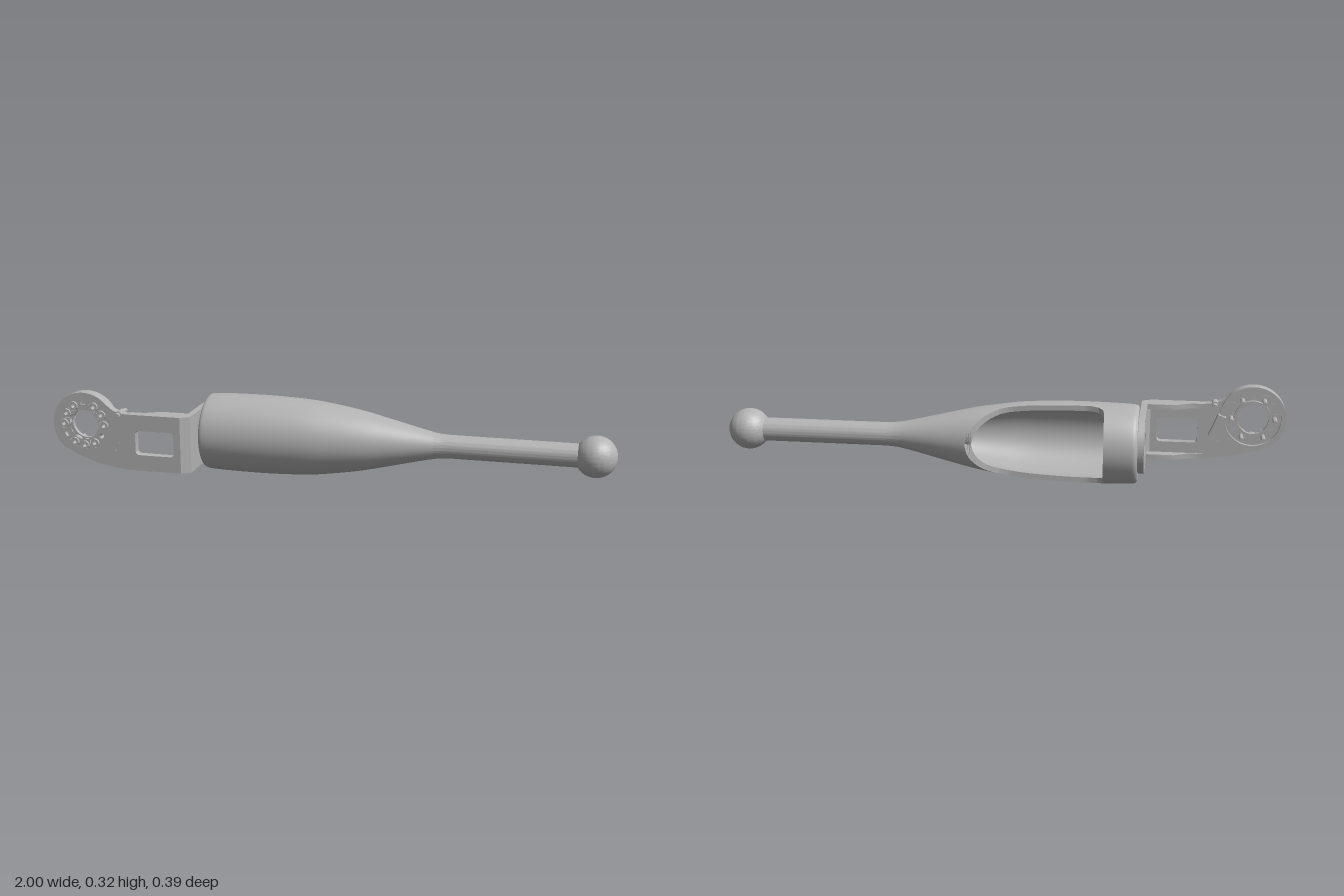
import * as THREE from 'three';
import { toCreasedNormals } from 'three/addons/utils/BufferGeometryUtils.js';

const AY = 0.145, AZ = -0.05; // axis of the handle, running along x
const V = (x, y) => new THREE.Vector2(x, y);

// Linear lookup in a list of points sorted by x
function lookup(pts, x) {
  for (let i = 1; i < pts.length; i++) {
    const a = pts[i - 1], b = pts[i];
    if (x <= b.x) return a.y + (b.y - a.y) * Math.max(0, (x - a.x) / (b.x - a.x));
  }
  return pts[pts.length - 1].y;
}

// Surface through rows of points; at(i, j) gives [px, py, pz, nx, ny, nz]
function gridSurface(rows, cols, at) {
  const pos = [], nor = [], idx = [];
  for (let i = 0; i < rows; i++)
    for (let j = 0; j < cols; j++) {
      const p = at(i, j);
      pos.push(...p.slice(0, 3));
      nor.push(...p.slice(3));
      if (i < rows - 1 && j < cols - 1) {
        const a = i * cols + j, b = a + cols;
        idx.push(a, b, b + 1, a, b + 1, a + 1);
      }
    }
  const geo = new THREE.BufferGeometry();
  geo.setAttribute('position', new THREE.Float32BufferAttribute(pos, 3));
  geo.setAttribute('normal', new THREE.Float32BufferAttribute(nor, 3));
  geo.setIndex(idx);
  return geo;
}

export function createModel() {
  const group = new THREE.Group();
  const grey = new THREE.MeshStandardMaterial({ color: 0xb4b4b4 });
  grey.name = 'grey';

  function addSmooth(name, geo, parent = group) {
    const mesh = new THREE.Mesh(geo, grey);
    mesh.name = name;
    parent.add(mesh);
  }
  const add = (name, geo, parent) => addSmooth(name, toCreasedNormals(geo, 0.55), parent);
  const extrude = (shape, depth) =>
    new THREE.ExtrudeGeometry(shape, { depth, bevelEnabled: false, curveSegments: 32 });
  const alongZ = (shape, z0, z1) => extrude(shape, z1 - z0).translate(0, 0, z0);
  // shape drawn as (-z, y), pushed along x
  const alongX = (shape, x0, x1) => extrude(shape, x1 - x0).rotateY(Math.PI / 2).translate(x0, 0, 0);
  // shape drawn as (x, -z), pushed up y
  const alongY = (pts, y0, y1) =>
    extrude(new THREE.Shape(pts.map(([x, z]) => V(x, -z))), y1 - y0).rotateX(-Math.PI / 2).translate(0, y0, 0);
  const circle = (x, y, r) => new THREE.Path().absarc(x, y, r, 0, Math.PI * 2, true);
  function ring(x, y, rOut, rIn) {
    const s = new THREE.Shape().absarc(x, y, rOut, 0, Math.PI * 2, false);
    s.holes.push(circle(x, y, rIn));
    return s;
  }
  const rodZ = (x, y, r, z0, z1) =>
    new THREE.CylinderGeometry(r, r, z1 - z0, 16).rotateX(Math.PI / 2).translate(x, y, (z0 + z1) / 2);

  // Hollow grip: ring sections along x, opened at the back by a cut curve
  const outer = new THREE.SplineCurve([
    [-0.482, 0.128], [-0.478, 0.135], [-0.465, 0.139], [-0.4, 0.142], [-0.25, 0.143], [-0.1, 0.137], [0, 0.125],
    [0.1, 0.108], [0.2, 0.085], [0.3, 0.061], [0.37, 0.046], [0.42, 0.042],
  ].map(p => V(...p))).getPoints(300);
  const cut = [
    [-0.368, -0.194], [-0.364, -0.12], [-0.36, -0.105], [-0.345, -0.09], [-0.315, -0.082], [-0.03, -0.082],
    [0, -0.088], [0.04, -0.108], [0.125, -0.16],
  ].map(p => V(...p));
  const xs = [-0.482, -0.48, -0.478, -0.472, -0.465, -0.45, -0.42, -0.39];
  for (let i = 1; i < cut.length; i++)
    for (let k = 0; k < 12; k++) xs.push(cut[i - 1].x + (cut[i].x - cut[i - 1].x) * k / 12);
  for (let k = 0; k <= 16; k++) xs.push(0.125 + 0.235 * k / 16);

  const N = 72, WALL = 0.018;
  const slope = x => (lookup(outer, x + 0.006) - lookup(outer, x - 0.006)) / 0.012;
  // point on the section at x: t runs from -1 to 1 between the two cut edges
  function sectionPoint(x, inset, t, facing) {
    const r = lookup(outer, x) - inset, m = slope(x), f = facing / Math.hypot(1, m);
    const zc = x < cut[0].x || x > 0.125 ? -1 : lookup(cut, x);
    const a = t * Math.acos(Math.max(-1, Math.min(1, (zc - AZ) / r)));
    const s = Math.sin(a), c = Math.cos(a);
    return [x, AY + r * s, AZ + r * c, -m * f, s * f, c * f];
  }
  const span = j => 2 * j / N - 1;
  addSmooth('gripOutside', gridSurface(xs.length, N + 1, (i, j) => sectionPoint(xs[i], 0, span(j), 1)));
  addSmooth('gripInside', gridSurface(xs.length, N + 1, (i, j) => sectionPoint(xs[i], WALL, -span(j), -1)));
  for (const side of [1, -1])
    add('gripOpeningRim', gridSurface(xs.length, 2, (i, j) =>
      sectionPoint(xs[i], (side > 0 ? j : 1 - j) * WALL, side, 1)));

  // Slim shaft ending in a ball
  const prof = [V(0, 0.359), V(lookup(outer, 0.359), 0.359)];
  for (const x of [0.37, 0.38, 0.39, 0.4, 0.42]) prof.push(V(lookup(outer, x), x));
  prof.push(V(0.042, 0.865));
  for (let k = 1; k <= 24; k++) {
    const a = 2.54 * (1 - k / 24);
    prof.push(V(Math.max(0, 0.074 * Math.sin(a)), 0.926 + 0.074 * Math.cos(a)));
  }
  add('shaftAndBall', new THREE.LatheGeometry(prof, 72).rotateZ(-Math.PI / 2).translate(0, AY, AZ));

  // End wall of the grip with its bolts; the mounting plate has matching holes
  const mountHoles = [circle(-AZ, AY, 0.045)];
  add('gripEndWall', alongX(ring(-AZ, AY, 0.128, 0.045), -0.482, -0.455));
  for (let k = 0; k < 6; k++) {
    const a = k * Math.PI / 3 + Math.PI / 6, y = AY + 0.078 * Math.sin(a), z = AZ + 0.078 * Math.cos(a);
    add('endWallBolt', new THREE.CylinderGeometry(0.013, 0.013, 0.03, 16).rotateZ(Math.PI / 2).translate(-0.461, y, z));
    mountHoles.push(circle(-z, y, 0.009));
  }

  // Bracket: rounded mounting plate against the grip
  const bracket = new THREE.Group();
  bracket.name = 'bracket';
  group.add(bracket);
  const B = 0.042, T = 0.248;
  const mount = new THREE.Shape();
  mount.moveTo(-0.14, B);
  mount.lineTo(-AZ, B);
  mount.absarc(-AZ, (B + T) / 2, (T - B) / 2, -Math.PI / 2, Math.PI / 2, false);
  mount.lineTo(-0.14, T);
  mount.holes.push(...mountHoles);
  add('mountPlate', alongX(mount, -0.505, -0.483), bracket);
  add('bracketCorner', alongY([[-0.535, 0.174], [-0.515, 0.174], [-0.483, 0.154], [-0.483, 0.138],
    [-0.505, 0.138], [-0.515, 0.145], [-0.535, 0.145]], B, T), bracket);

  // Arm plate with round head, centre hole and window
  const CX = -0.88, CY = 0.2, R = 0.118;
  const arm = new THREE.Shape();
  arm.moveTo(-0.53, B);
  arm.lineTo(-0.68, B);
  arm.bezierCurveTo(-0.77, B, -0.88, 0.062, CX + R * Math.cos(-2.35), CY + R * Math.sin(-2.35));
  arm.absarc(CX, CY, R, -2.35, -5.5, true);
  arm.bezierCurveTo(-0.775, 0.262, -0.755, T, -0.71, T);
  arm.lineTo(-0.53, T);
  arm.holes.push(circle(CX, CY, 0.055));
  const win = new THREE.Path(), c = 0.015;
  win.moveTo(-0.685 + c, 0.1);
  win.lineTo(-0.54 - c, 0.1);
  win.quadraticCurveTo(-0.54, 0.1, -0.54, 0.1 + c);
  win.lineTo(-0.54, 0.19 - c);
  win.quadraticCurveTo(-0.54, 0.19, -0.54 - c, 0.19);
  win.lineTo(-0.685 + c, 0.19);
  win.quadraticCurveTo(-0.685, 0.19, -0.685, 0.19 - c);
  win.lineTo(-0.685, 0.1 + c);
  win.quadraticCurveTo(-0.685, 0.1, -0.685 + c, 0.1);
  arm.holes.push(win, circle(-0.742, 0.142, 0.006), circle(-0.76, 0.112, 0.006));

  // Head bolts seated in holes, every second one with a long pin behind; three holes stay empty
  for (let k = 0; k < 12; k++) {
    const a = k * Math.PI / 6, x = CX + 0.077 * Math.cos(a), y = CY + 0.077 * Math.sin(a);
    const empty = k % 4 === 3;
    arm.holes.push(circle(x, y, empty ? 0.009 : 0.0185));
    if (empty) continue;
    add('headBolt', alongZ(ring(x, y, 0.016, 0.007), 0.146, 0.178), bracket);
    add('boltSeat', rodZ(x, y, 0.0187, 0.144, 0.155), bracket);
    if (k % 2 === 0) add('headPin', rodZ(x, y, 0.008, 0.09, 0.15), bracket);
  }
  add('armPlate', alongZ(arm, 0.145, 0.174), bracket);

  // Stiffening ribs along the upper and lower edges
  for (const y of [B, T - 0.018])
    add('armRib', alongY([[-0.505, 0.145], [-0.505, 0.108], [-0.605, 0.108], [-0.66, 0.138], [-0.71, 0.138], [-0.71, 0.146],
      [-0.515, 0.146]], y, y + 0.018), bracket);

  // Raised rims on the back of the head
  add('headRim', alongZ(ring(CX, CY, R, 0.1), 0.131, 0.146), bracket);
  add('headHub', alongZ(ring(CX, CY, 0.066, 0.055), 0.131, 0.146), bracket);

  // Side screw and small clip block behind the arm
  add('sideScrew', rodZ(-0.745, 0.245, 0.009, 0.11, 0.193), bracket);
  add('sideScrewHead', rodZ(-0.745, 0.245, 0.013, 0.135, 0.178), bracket);
  add('clipBlock', new THREE.BoxGeometry(0.03, 0.085, 0.03).rotateZ(0.4).translate(-0.755, 0.17, 0.132), bracket);

  return group;
}
